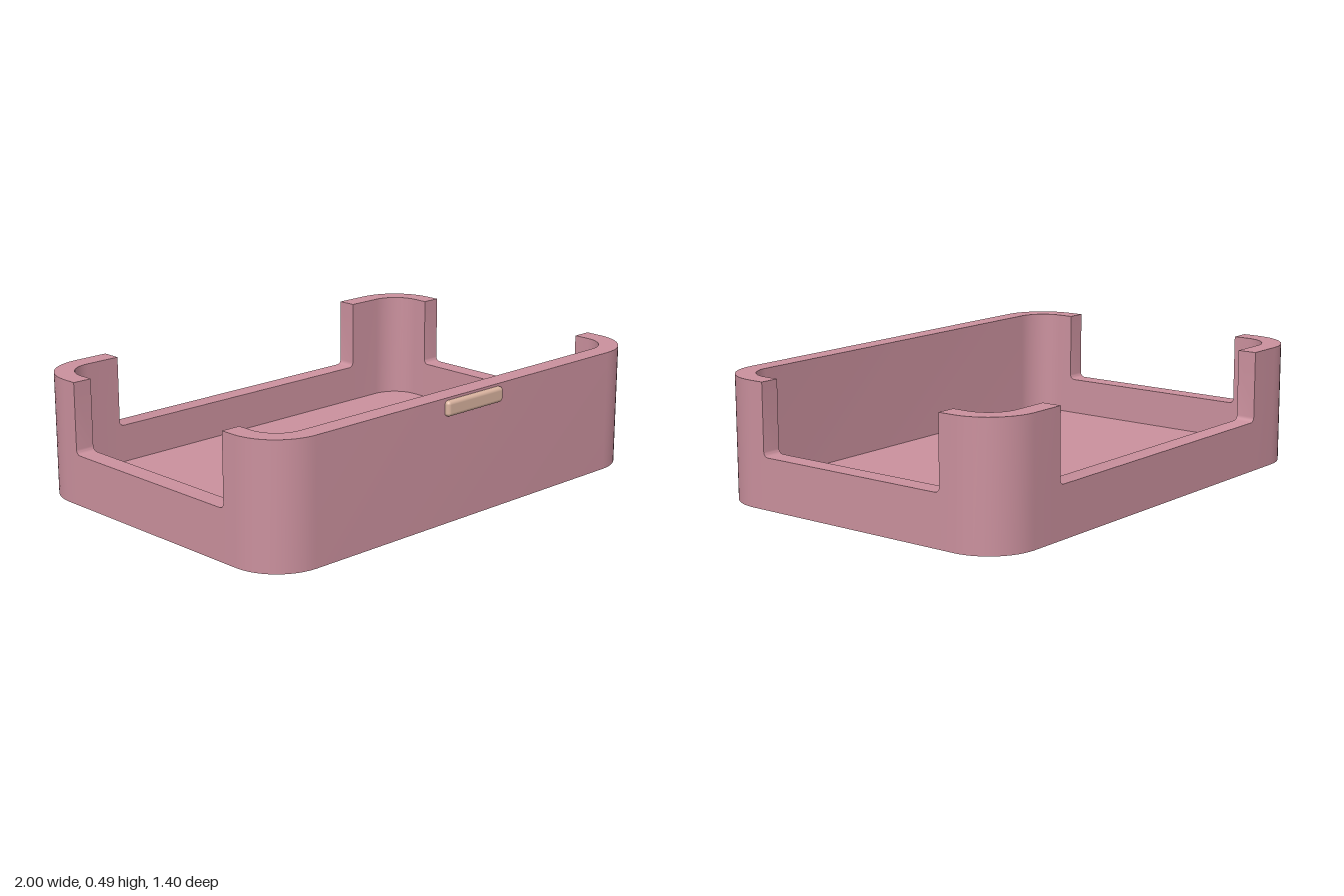
import * as THREE from 'three';
import { toCreasedNormals } from 'three/addons/utils/BufferGeometryUtils.js';
import { RoundedBoxGeometry } from 'three/addons/geometries/RoundedBoxGeometry.js';

const HEIGHT = 0.49, LOW = 0.204, FLOOR = 0.052, FILLET = 0.02;
const OUTER = 0.2, INNER = 0.121;         // corner radii, sharing a centre
const CX = 0.8, CZ = 0.492;               // corner centres
const SIDE_CUT = 0.429, BACK_CUT = 0.652; // half widths of the openings

// Stations along the wall from front to back on the +x side:
// base point, outward direction and wall height
function halfWall() {
  const list = [];
  const add = (x, z, nx, nz, h) => list.push({ x, z, nx, nz, h });
  const corner = (sign) => {
    for (let i = 0; i <= 12; i++) {
      const a = (sign > 0 ? i : 12 - i) / 12 * Math.PI / 2;
      add(CX, CZ * sign, Math.sin(a), Math.cos(a) * sign, HEIGHT);
    }
  };
  // Foot of an opening: offset from its upright edge and height
  const foot = [];
  for (let i = 0; i <= 5; i++) {
    const a = i / 5 * Math.PI / 2;
    foot.push([FILLET * (1 - Math.cos(a)), LOW + FILLET * (1 - Math.sin(a))]);
  }
  corner(1);
  add(CX, SIDE_CUT, 1, 0, HEIGHT);
  foot.forEach(([d, h]) => add(CX, SIDE_CUT - d, 1, 0, h));
  [...foot].reverse().forEach(([d, h]) => add(CX, d - SIDE_CUT, 1, 0, h));
  add(CX, -SIDE_CUT, 1, 0, HEIGHT);
  corner(-1);
  add(BACK_CUT, -CZ, 0, -1, HEIGHT);
  foot.forEach(([d, h]) => add(BACK_CUT - d, -CZ, 0, -1, h));
  return list;
}

// Tray: one cross-section (base, outer wall, rim, inner wall, floor) swept round
function trayGeometry() {
  const half = halfWall();
  const mirrored = half.map((s) => ({ ...s, x: -s.x, nx: -s.nx })).reverse();
  const sections = [...half, ...mirrored].map(({ x, z, nx, nz, h }) => {
    const at = (r, y) => new THREE.Vector3(x + nx * r, y, z + nz * r);
    return [
      new THREE.Vector3(0, 0, 0), at(OUTER, 0), at(OUTER, h),
      at(INNER, h), at(INNER, FLOOR), new THREE.Vector3(0, FLOOR, 0),
    ];
  });
  const positions = [];
  const triangle = (a, b, c) => {
    if (new THREE.Triangle(a, b, c).getArea() < 1e-8) return;
    for (const p of [a, b, c]) positions.push(p.x, p.y, p.z);
  };
  sections.forEach((s, i) => {
    const n = sections[(i + 1) % sections.length];
    for (let j = 0; j < s.length - 1; j++) {
      triangle(s[j], n[j], n[j + 1]);
      triangle(s[j], n[j + 1], s[j + 1]);
    }
  });
  const geometry = new THREE.BufferGeometry();
  geometry.setAttribute('position', new THREE.Float32BufferAttribute(positions, 3));
  return toCreasedNormals(geometry, 0.6);
}

export function createModel() {
  const rose = new THREE.MeshStandardMaterial({ color: 0xca909d });
  rose.name = 'dusty rose';
  const tan = new THREE.MeshStandardMaterial({ color: 0xd8b29e });
  tan.name = 'tan';

  const group = new THREE.Group();
  group.name = 'openTray';

  const tray = new THREE.Mesh(trayGeometry(), rose);
  tray.name = 'tray';
  tray.position.z = -0.01;
  group.add(tray);

  // Finger catch, partly sunk into the front wall
  const latch = new THREE.Mesh(new RoundedBoxGeometry(0.304, 0.06, 0.05, 4, 0.014), tan);
  latch.name = 'frontCatch';
  latch.position.set(0, 0.45, 0.677);
  group.add(latch);

  return group;
}
